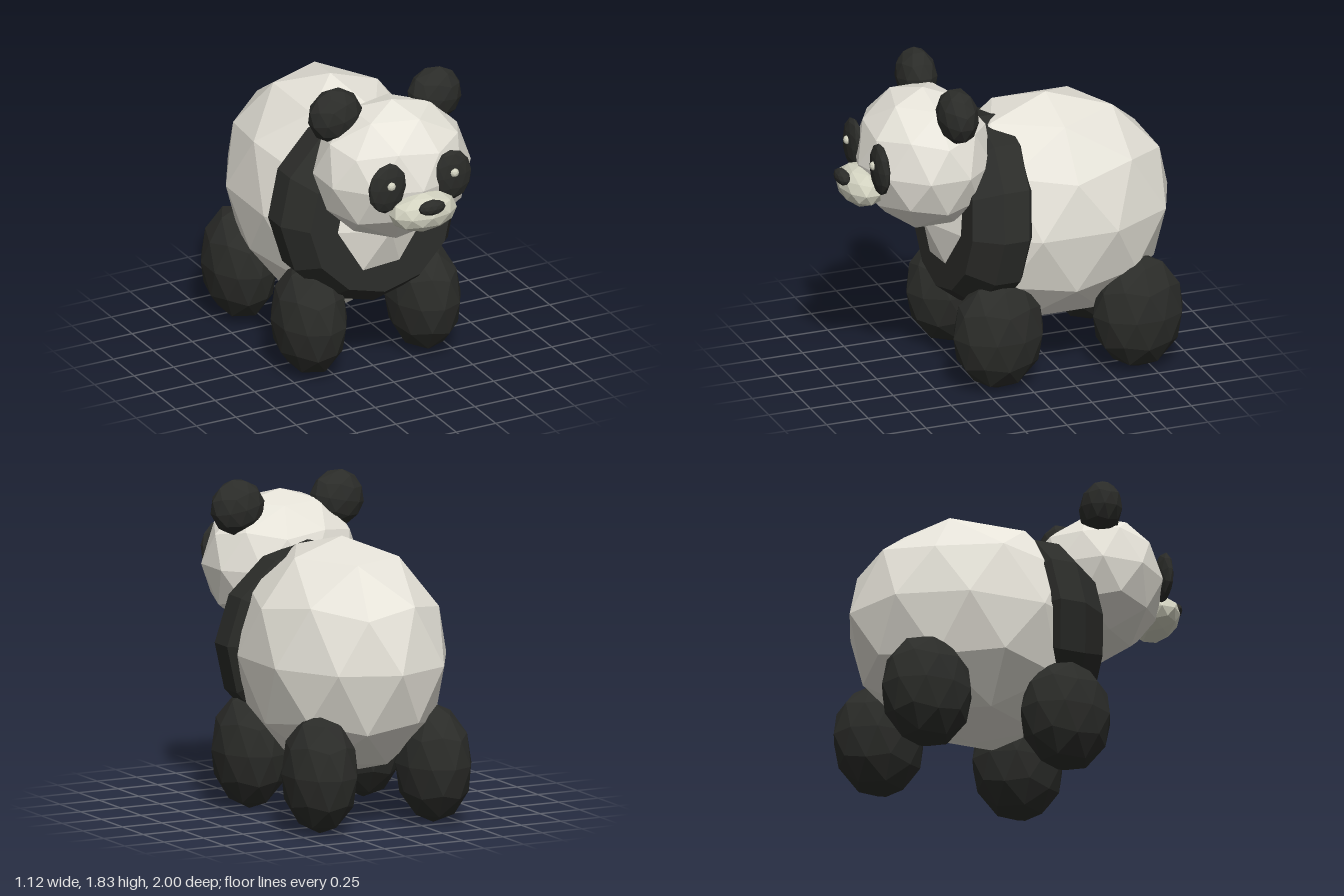
import * as THREE from 'three';

const paint = (color) => new THREE.MeshStandardMaterial({ color, flatShading: true, roughness: 0.9 });

export function createModel() {
  const group = new THREE.Group();
  const white = paint(0xe6e3d9);
  const black = paint(0x2b2c29);
  const cream = paint(0xd2d2c0);

  // Faceted ball standing on one of its corners
  const ball = new THREE.IcosahedronGeometry(1, 1);
  ball.rotateZ(-Math.atan2(2, 1 + Math.sqrt(5)));

  function blob(name, material, position, radii, tilt = 0) {
    const mesh = new THREE.Mesh(ball, material);
    mesh.name = name;
    mesh.position.set(...position);
    mesh.scale.set(...radii);
    mesh.rotation.z = tilt;
    group.add(mesh);
    return mesh;
  }

  // Left part and its mirror image on the right
  function pair(name, material, [x, y, z], [rx, ry, rz], tilt = 0) {
    blob(name + 'Left', material, [x, y, z], [rx, ry, rz], tilt);
    blob(name + 'Right', material, [-x, y, z], [-rx, ry, rz], -tilt);
  }

  // Body and head
  blob('body', white, [0, 0.92, -0.265], [0.57, 0.675, 0.735]);
  blob('head', white, [0, 1.327, 0.475], [0.46, 0.412, 0.387]);

  // Dark shoulder band: a chamfered twelve-sided disc leaning back at the top
  const profile = [[0, 0.01], [0.5, 0.01], [0.56, 0.05], [0.56, 0.2], [0.45, 0.35], [0, 0.35]]
    .map(([r, z]) => new THREE.Vector2(r, z));
  const bandGeometry = new THREE.LatheGeometry(profile, 12);
  bandGeometry.rotateX(Math.PI / 2);
  bandGeometry.scale(1, 0.98, 1);
  const p = bandGeometry.attributes.position;
  for (let i = 0; i < p.count; i++) p.setZ(i, p.getZ(i) - 0.1 * p.getY(i));
  bandGeometry.computeVertexNormals();
  const band = new THREE.Mesh(bandGeometry, black);
  band.name = 'shoulderBand';
  band.position.set(0, 0.955, 0);
  group.add(band);

  // Legs
  pair('frontLeg', black, [0.36, 0.335, 0.16], [0.208, 0.335, 0.27]);
  pair('backLeg', black, [0.36, 0.34, -0.68], [0.208, 0.34, 0.27]);

  // Ears
  pair('ear', black, [0.315, 1.672, 0.39], [0.163, 0.163, 0.115], -0.2);

  // Face
  pair('eyePatch', black, [0.205, 1.37, 0.812], [0.12, 0.152, 0.043], 0.1);
  pair('eye', cream, [0.2, 1.395, 0.85], [0.026, 0.026, 0.022]);
  blob('muzzle', cream, [0, 1.205, 0.85], [0.205, 0.115, 0.125]);
  blob('nose', black, [0, 1.268, 0.96], [0.083, 0.045, 0.04]);

  return group;
}
